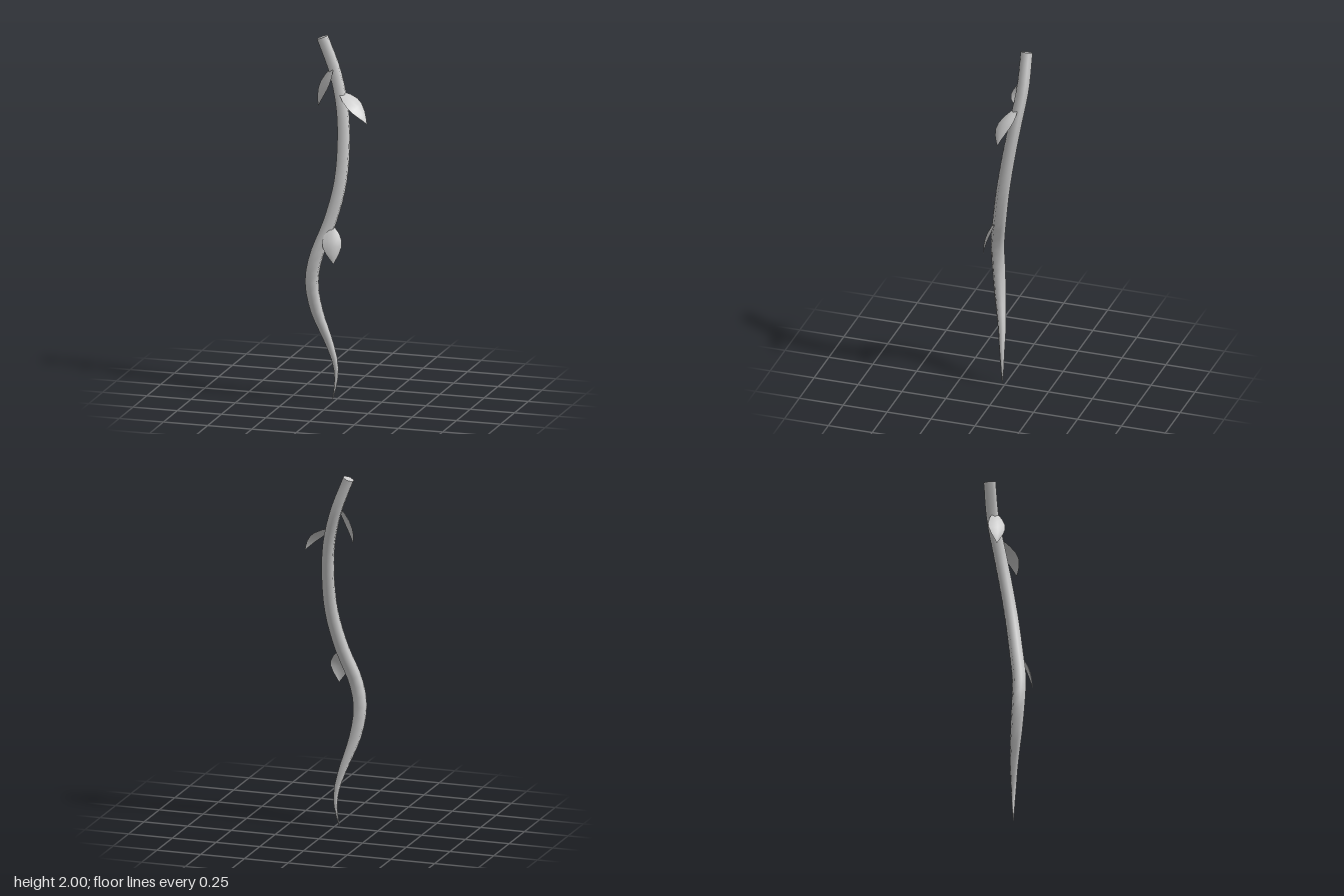
import * as THREE from 'three';

const grey = new THREE.MeshStandardMaterial({ color: 0xcccccc, side: THREE.DoubleSide });
const V = (x, y, z) => new THREE.Vector3(x, y, z);

// Stem centre line with radius: x, y, z, r
const STEM = [
  [-0.022, 0.0, 0.02, 0.002], [-0.004, 0.1, 0.014, 0.009], [-0.007, 0.2, 0.017, 0.015],
  [-0.04, 0.32, 0.028, 0.023], [-0.1, 0.5, 0.058, 0.034], [-0.122, 0.66, 0.075, 0.038],
  [-0.1, 0.8, 0.073, 0.039], [-0.03, 1.0, 0.037, 0.038], [0.015, 1.2, 0.003, 0.037],
  [0.024, 1.4, -0.03, 0.036], [0.008, 1.6, -0.063, 0.035], [-0.042, 1.8, -0.09, 0.034],
  [-0.113, 1.987, -0.088, 0.033],
];

function radiusAt(y) {
  let i = 1;
  while (i < STEM.length - 1 && STEM[i][1] < y) i++;
  const a = STEM[i - 1], b = STEM[i];
  const t = THREE.MathUtils.clamp((y - a[1]) / (b[1] - a[1]), 0, 1);
  return THREE.MathUtils.lerp(a[3], b[3], t);
}

function buildStem() {
  const group = new THREE.Group();
  group.name = 'stem';
  const segments = 36, sides = 6;
  const curve = new THREE.CatmullRomCurve3(STEM.map(([x, y, z]) => V(x, y, z)));

  // Unit tube whose rings are shrunk to the tapering radius
  const geo = new THREE.TubeGeometry(curve, segments, 1, sides, false);
  const pos = geo.attributes.position, v = V(0, 0, 0), rim = [];
  for (let i = 0; i <= segments; i++) {
    const c = curve.getPointAt(i / segments), r = radiusAt(c.y);
    for (let j = 0; j <= sides; j++) {
      const k = i * (sides + 1) + j;
      v.fromBufferAttribute(pos, k).sub(c).multiplyScalar(r).add(c);
      pos.setXYZ(k, v.x, v.y, v.z);
      if (i === segments && j < sides) rim.push(v.clone());
    }
  }
  const tube = new THREE.Mesh(geo, grey);
  tube.name = 'stemTube';

  // Flat cut at the top
  const capGeo = new THREE.BufferGeometry().setFromPoints(rim);
  const index = [];
  for (let j = 1; j < sides - 1; j++) index.push(0, j, j + 1);
  capGeo.setIndex(index);
  capGeo.computeVertexNormals();
  const n = V(0, 0, 0).fromBufferAttribute(capGeo.attributes.normal, 0);
  if (n.y < 0) {
    capGeo.setIndex(index.reverse());
    capGeo.computeVertexNormals();
  }
  const cap = new THREE.Mesh(capGeo, grey);
  cap.name = 'stemCut';
  group.add(tube, cap);
  return group;
}

// Ovate leaf arched along its length, edges bent down and a notched base
function buildLeaf(name, base, tip, side, bulge) {
  const rows = [[0, 0.02], [0.14, 0.041], [0.35, 0.053], [0.52, 0.051], [0.72, 0.035], [0.88, 0.016], [1, 0.001]];
  const cols = 4;
  const axis = tip.clone().sub(base);
  side = side.clone().normalize();
  const normal = side.clone().cross(axis).normalize();
  if (normal.y < 0) normal.negate();
  const points = [], index = [];
  rows.forEach(([t, w], i) => {
    for (let j = 0; j <= cols; j++) {
      const s = (j / cols) * 2 - 1;
      const along = t - (i === 0 ? 0.07 * (Math.abs(s) - 0.5) : 0);
      points.push(base.clone().addScaledVector(axis, along)
        .addScaledVector(side, s * w)
        .addScaledVector(normal, bulge * 4 * t * (1 - t) - 0.2 * w * s * s));
      if (i < rows.length - 1 && j < cols) {
        const a = i * (cols + 1) + j, b = a + cols + 1;
        index.push(a, b, a + 1, b, b + 1, a + 1);
      }
    }
  });
  const geo = new THREE.BufferGeometry().setFromPoints(points);
  geo.setIndex(index);
  geo.computeVertexNormals();
  const mesh = new THREE.Mesh(geo, grey);
  mesh.name = name;
  return mesh;
}

export function createModel() {
  const model = new THREE.Group();
  model.name = 'vine';
  model.add(
    buildStem(),
    buildLeaf('upperRightLeaf', V(-0.062, 1.81, -0.068), V(-0.123, 1.615, -0.045), V(0.7, 0.1, 0.7), 0.018),
    buildLeaf('upperLeftLeaf', V(0.012, 1.685, -0.055), V(0.162, 1.54, -0.013), V(-0.27, -0.35, 0.93), 0.028),
    buildLeaf('lowerLeaf', V(-0.015, 0.962, 0.066), V(0.012, 0.78, 0.115), V(0.95, 0.08, -0.27), 0.02),
  );
  return model;
}
